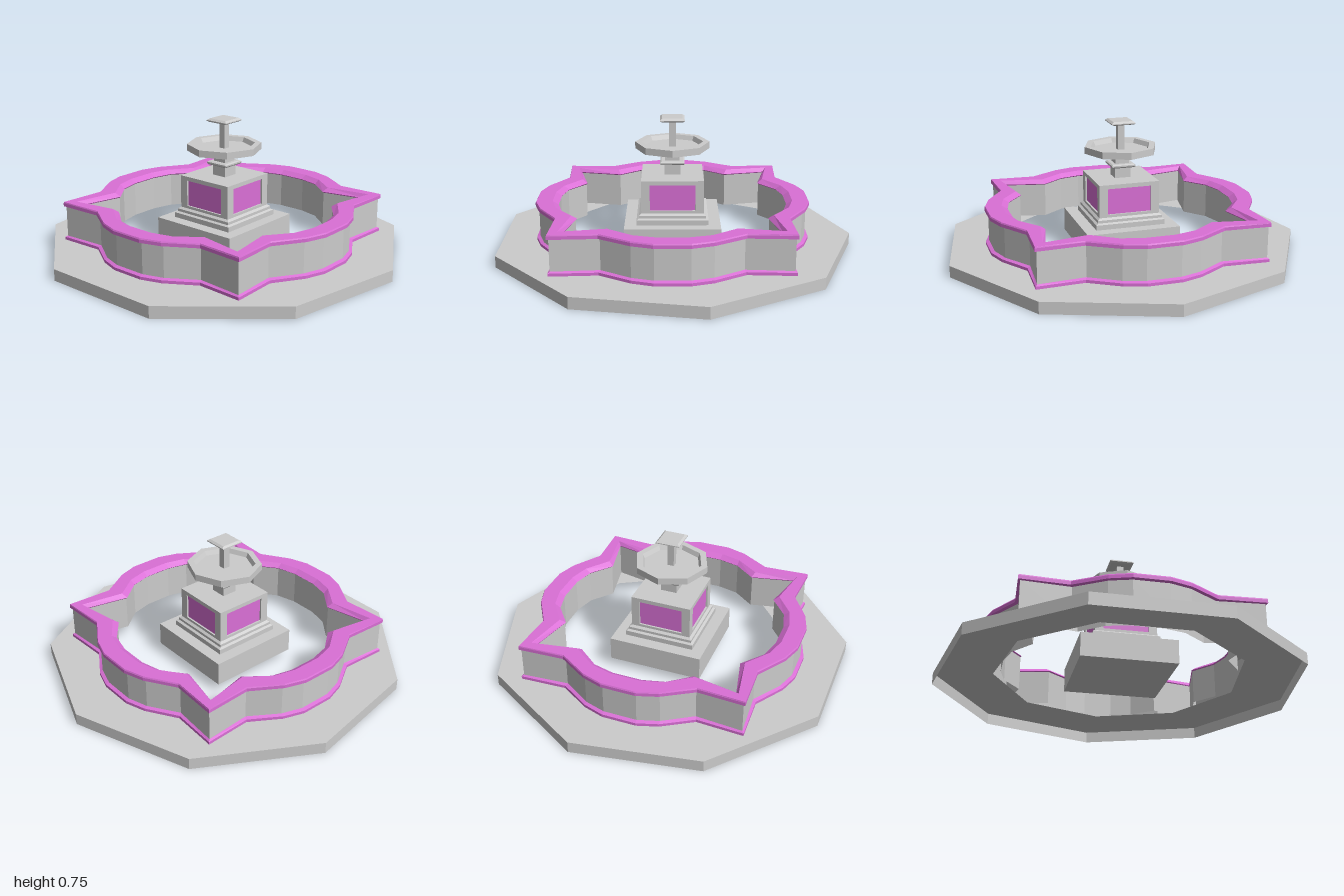
import * as THREE from 'three';

const grey = new THREE.MeshStandardMaterial({ color: 0xcccccc, flatShading: true, side: THREE.DoubleSide });
const pink = new THREE.MeshStandardMaterial({ color: 0xda70d6, flatShading: true, side: THREE.DoubleSide });

// One quarter of the basin plan: outer edge and matching inner edge
const mirrorDiagonal = (pts) => [...pts, ...pts.slice(0, 3).reverse().map(([x, z]) => [z, x])];
const outerQuarter = mirrorDiagonal([[0.762, 0.095], [0.725, 0.21], [0.622, 0.376], [0.635, 0.635]]);
const innerQuarter = mirrorDiagonal([[0.635, 0.08], [0.605, 0.2], [0.51, 0.32], [0.565, 0.565]]);

// Plan loop at fraction t of the way from the outer edge to the inner edge
function planLoop(t) {
  const loop = [];
  for (let q = 0; q < 4; q++) {
    outerQuarter.forEach(([ox, oz], i) => {
      let x = ox + (innerQuarter[i][0] - ox) * t;
      let z = oz + (innerQuarter[i][1] - oz) * t;
      for (let k = 0; k < q; k++) [x, z] = [-z, x];
      loop.push([x, z]);
    });
  }
  return loop;
}

// Sweep a profile of [t, y] points around the basin plan
function basinBand(profile) {
  const pos = [];
  const loops = profile.map(([t, y]) => planLoop(t).map(([x, z]) => [x, y, z]));
  for (let i = 0; i < loops.length - 1; i++) {
    const n = loops[i].length;
    for (let j = 0; j < n; j++) {
      const k = (j + 1) % n;
      const a = loops[i][j], b = loops[i][k], c = loops[i + 1][k], d = loops[i + 1][j];
      pos.push(...a, ...d, ...c, ...a, ...c, ...b);
    }
  }
  const g = new THREE.BufferGeometry();
  g.setAttribute('position', new THREE.Float32BufferAttribute(pos, 3));
  g.computeVertexNormals();
  return g;
}

export function createModel() {
  const model = new THREE.Group();
  model.name = 'fountain';
  const body = new THREE.Group();
  body.name = 'fountainBody';
  body.position.z = 0.03;
  model.add(body);

  const add = (name, geometry, material = grey) => {
    const mesh = new THREE.Mesh(geometry, material);
    mesh.name = name;
    body.add(mesh);
    return mesh;
  };
  // Square block given by half width and its bottom and top heights
  const block = (name, half, y0, y1, material) =>
    add(name, new THREE.BoxGeometry(half * 2, y1 - y0, half * 2).translate(0, (y0 + y1) / 2, 0), material);
  // Square or polygonal turned part; four sides are aligned to the axes
  const turned = (name, points, sides) => {
    const s = sides === 4 ? Math.SQRT2 : 1;
    const profile = points.map(([r, y]) => new THREE.Vector2(r * s, y));
    return add(name, new THREE.LatheGeometry(profile, sides, sides === 4 ? Math.PI / 4 : 0).toNonIndexed());
  };

  // Nine-sided paving, open underneath
  add('pavingTop', new THREE.RingGeometry(0.69, 1.015, 9, 1, Math.PI / 2).rotateX(-Math.PI / 2).translate(0, 0.065, 0));
  add('pavingEdge', new THREE.CylinderGeometry(1.015, 1.015, 0.065, 9, 1, true, Math.PI).translate(0, 0.0325, 0));

  // Basin wall with trims
  add('basinWall', basinBand([[0.15, 0.066], [0.15, 0.268], [0.95, 0.268], [0.95, 0.066]]));
  add('basinFootTrim', basinBand([[0, 0.067], [0, 0.083], [0.15, 0.09]]), pink);
  add('basinRim', basinBand([[0.15, 0.262], [0, 0.265], [0, 0.283], [0.03, 0.29], [0.74, 0.29], [1, 0.268], [0.95, 0.262]]), pink);

  // Pedestal base and stepped plinth
  block('pedestalBase', 0.265, 0.05, 0.185);
  turned('plinth', [[0, 0.185], [0.198, 0.185], [0.198, 0.213], [0.185, 0.22], [0.185, 0.235], [0.172, 0.245], [0, 0.245]], 4);

  // Pedestal block: sunken panels framed by posts and slabs
  block('pedestalPanels', 0.162, 0.245, 0.41, pink);
  block('panelSill', 0.172, 0.24, 0.26);
  block('pedestalTop', 0.172, 0.407, 0.43);
  for (const sx of [-1, 1]) for (const sz of [-1, 1]) {
    add('pedestalPost', new THREE.BoxGeometry(0.047, 0.16, 0.047))
      .position.set(sx * 0.1485, 0.33, sz * 0.1485);
  }

  // Neck with collar
  turned('neck', [[0.045, 0.43], [0.045, 0.49], [0.063, 0.49], [0.068, 0.497], [0.068, 0.505], [0.06, 0.51],
    [0.04, 0.51], [0.04, 0.572]], 4);

  // Eight-sided bowl
  turned('bowl', [[0, 0.572], [0.207, 0.572], [0.207, 0.61], [0.172, 0.61], [0.16, 0.585], [0, 0.585]], 8);

  // Spout post and cap
  block('spoutPost', 0.019, 0.58, 0.735);
  turned('spoutCap', [[0, 0.732], [0.058, 0.732], [0.068, 0.738], [0.068, 0.743], [0.056, 0.752], [0, 0.752]], 4);

  return model;
}
